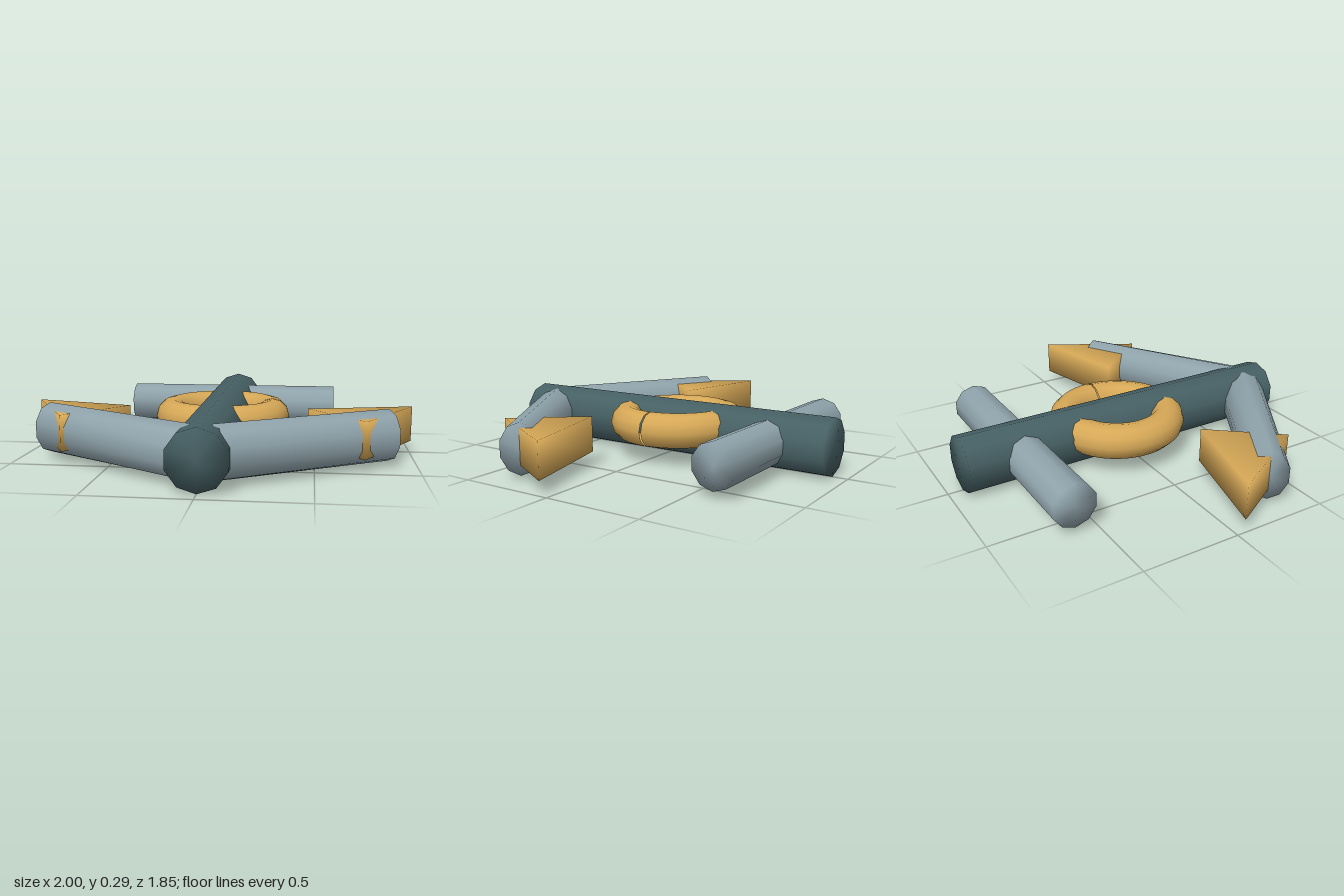
import * as THREE from 'three';
import { mergeVertices } from 'three/addons/utils/BufferGeometryUtils.js';

const MID = 0.146; // height of the centre plane

function material(name, color) {
  const m = new THREE.MeshStandardMaterial({ color });
  m.name = name;
  return m;
}

// Weld all corners so the shading runs softly over every edge
function soften(geometry) {
  geometry.deleteAttribute('normal');
  geometry.deleteAttribute('uv');
  const welded = mergeVertices(geometry, 1e-4);
  welded.computeVertexNormals();
  return welded;
}

export function createModel() {
  const group = new THREE.Group();
  const darkSteel = material('dark steel', 0x466064);
  const paleSteel = material('pale steel', 0x8fa3ab);
  const brass = material('brass', 0xd6a857);

  function add(name, geometry, mat, x, y, z) {
    const mesh = new THREE.Mesh(geometry, mat);
    mesh.name = name;
    mesh.position.set(x, y, z);
    group.add(mesh);
    return mesh;
  }

  // Shank lying along z
  const shank = new THREE.CylinderGeometry(0.146, 0.146, 1.846, 10);
  shank.rotateX(-Math.PI / 2);
  add('shank', soften(shank), darkSteel, 0, MID, 0);

  // Stock crossing the shank near the back
  const stock = new THREE.CylinderGeometry(0.113, 0.113, 1.226, 10, 1, false, Math.PI / 2);
  stock.rotateZ(Math.PI / 2);
  add('stock', soften(stock), paleSteel, 0, MID, -0.615);

  // Ring around the shank, with a hairline gap on its left
  const ring = new THREE.TorusGeometry(0.27, 0.091, 12, 48, Math.PI * 2 - 0.025);
  ring.rotateX(Math.PI / 2);
  add('ring', ring, brass, 0, 0.176, -0.04).material.side = THREE.DoubleSide;

  // Arms and flukes, mirrored
  const base = new THREE.Vector2(0.05, 0.78);
  const tip = new THREE.Vector2(0.857, 0.29);
  const length = base.distanceTo(tip);
  for (const side of [1, -1]) {
    const label = side > 0 ? 'left' : 'right';

    // Arm narrows sideways towards its tip but keeps its height
    const arm = new THREE.CylinderGeometry(0.13, 0.13, length, 10);
    const p = arm.attributes.position;
    for (let i = 0; i < p.count; i++) {
      p.setX(i, p.getX(i) * (p.getY(i) > 0 ? 0.785 : 0.96));
    }
    arm.rotateX(-Math.PI / 2);
    arm.rotateY(-side * Math.atan2(tip.x - base.x, base.y - tip.y));
    add(label + 'Arm', soften(arm), paleSteel,
      side * (base.x + tip.x) / 2, MID + 0.003, (base.y + tip.y) / 2);

    // Triangular fluke plate piercing the arm
    const outline = [[1, 0.04], [0.463, 0.176], [0.735, 0.51]];
    const shape = new THREE.Shape(outline.map(([x, z]) => new THREE.Vector2(side * x, -z)));
    const fluke = new THREE.ExtrudeGeometry(shape, { depth: 0.182, bevelEnabled: false });
    fluke.rotateX(-Math.PI / 2);
    add(label + 'Fluke', soften(fluke), brass, 0, 0.07, 0);
  }
  return group;
}
